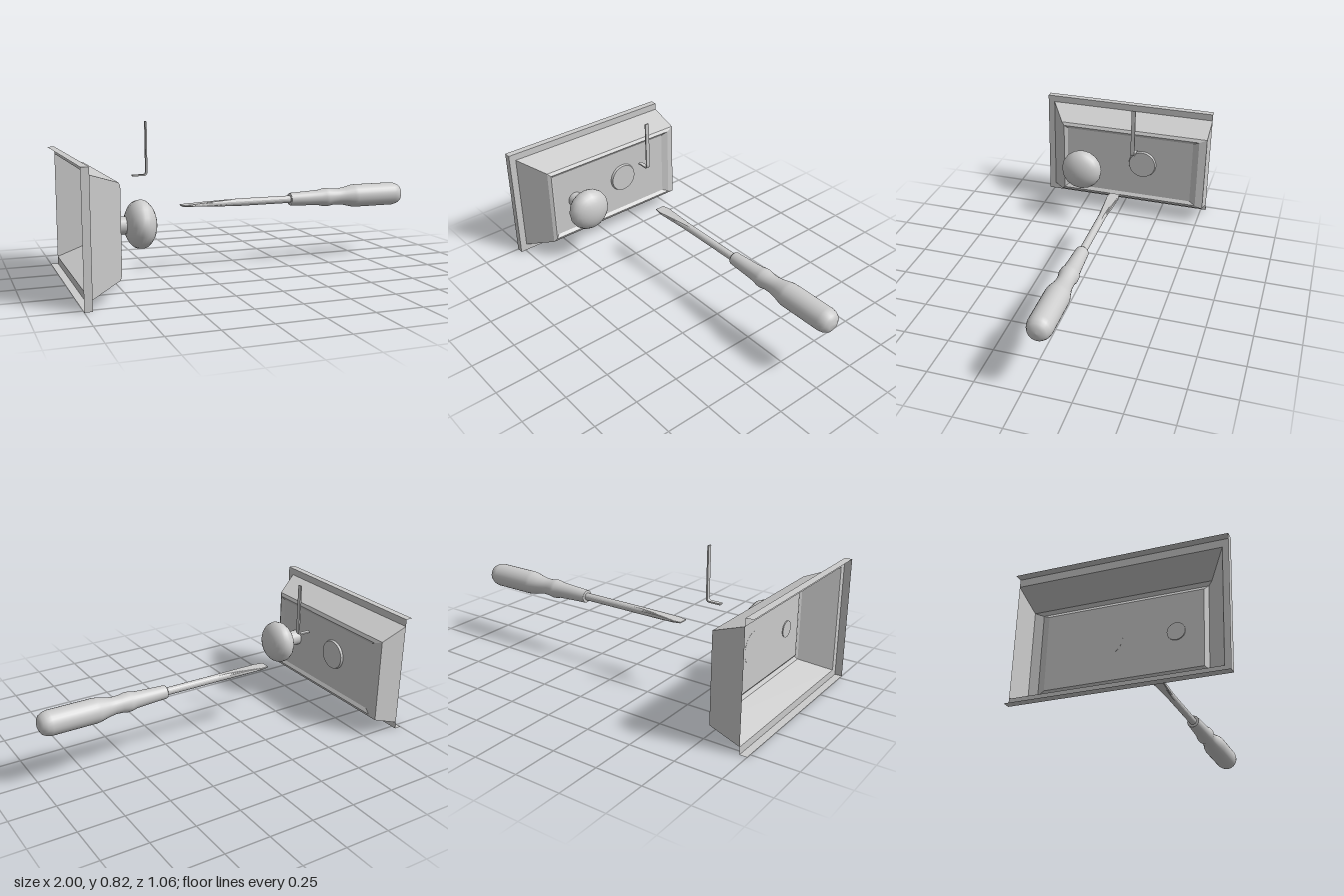
import * as THREE from 'three';

const grey = new THREE.MeshStandardMaterial({ color: 0xcccccc });
const greyFlat = new THREE.MeshStandardMaterial({ color: 0xcccccc, flatShading: true, side: THREE.DoubleSide });

function add(parent, name, geometry, material = grey) {
  const mesh = new THREE.Mesh(geometry, material);
  mesh.name = name;
  parent.add(mesh);
  return mesh;
}

function fromTriangles(pos) {
  const g = new THREE.BufferGeometry();
  g.setAttribute('position', new THREE.Float32BufferAttribute(pos.flat(), 3));
  g.computeVertexNormals();
  return g;
}

// Hollow sheet panel: rectangular loops joined by sides, with an open flange at the -z end
function panelGeometry() {
  // x, yMin, yMax, zMin, zMax
  const loops = [
    [-1, 0, 0.67, -0.53, 0.53],
    [-0.96, 0, 0.67, -0.53, 0.53],
    [-0.96, 0.04, 0.63, -0.53, 0.49],
    [-0.797, 0.1, 0.573, -0.53, 0.388],
    [-0.786, 0.12, 0.555, -0.485, 0.37],
    [-0.8, 0.138, 0.535, -0.447, 0.35],
  ].map(([x, y0, y1, z0, z1]) => [[x, y0, z1], [x, y0, z0], [x, y1, z0], [x, y1, z1]]);
  const tris = [];
  const quad = (a, b, c, d) => tris.push(a, b, c, a, c, d);
  for (let i = 0; i < loops.length - 1; i++) {
    for (let k = 0; k < 4; k++) {
      if (k === 1 && i < 2) continue;
      const n = (k + 1) % 4;
      quad(loops[i][k], loops[i][n], loops[i + 1][n], loops[i + 1][k]);
    }
  }
  quad(...loops[loops.length - 1]);
  return fromTriangles(tris);
}

// Round shaft flattening into a flared blade
function shaftGeometry() {
  // x, half width (z), half thickness (y)
  const sections = [
    [-0.355, 0.028, 0.003], [-0.31, 0.035, 0.005], [-0.2, 0.027, 0.012],
    [-0.09, 0.021, 0.017], [-0.03, 0.021, 0.021], [0.3, 0.021, 0.021],
  ];
  const N = 20;
  const rings = sections.map(([x, w, h]) => Array.from({ length: N }, (_, i) => {
    const a = (i / N) * Math.PI * 2;
    return [x, THREE.MathUtils.clamp(Math.sin(a) * w, -h, h), Math.cos(a) * w];
  }));
  const tris = [];
  for (let s = 0; s < rings.length - 1; s++) {
    for (let i = 0; i < N; i++) {
      const n = (i + 1) % N, a = rings[s], b = rings[s + 1];
      tris.push(a[i], a[n], b[n], a[i], b[n], b[i]);
    }
  }
  for (let i = 0; i < N; i++) tris.push([-0.355, 0, 0], rings[0][(i + 1) % N], rings[0][i]);
  return fromTriangles(tris);
}

// Flat L-shaped strip with a rounded bend, drawn in x-y and given depth in z
function hookGeometry() {
  const s = new THREE.Shape();
  s.moveTo(-0.61, 0.533);
  s.lineTo(-0.55, 0.533);
  s.quadraticCurveTo(-0.528, 0.533, -0.528, 0.556);
  s.lineTo(-0.528, 0.825);
  s.lineTo(-0.536, 0.825);
  s.lineTo(-0.536, 0.556);
  s.quadraticCurveTo(-0.536, 0.541, -0.55, 0.541);
  s.lineTo(-0.61, 0.541);
  return new THREE.ExtrudeGeometry(s, { depth: 0.023, bevelEnabled: false, curveSegments: 6 });
}

export function createModel() {
  const model = new THREE.Group();
  model.name = 'drawerFrontAndScrewdriver';

  // Drawer front with a shallow raised disc
  add(model, 'drawerFront', panelGeometry(), greyFlat);
  const disc = add(model, 'disc', new THREE.CylinderGeometry(0.082, 0.087, 0.014, 32));
  disc.rotation.z = -Math.PI / 2;
  disc.position.set(-0.794, 0.353, -0.137);

  // Knob on its neck
  const knob = new THREE.Group();
  knob.name = 'knob';
  knob.position.set(-0.655, 0.335, 0.215);
  model.add(knob);
  const head = add(knob, 'knobHead', new THREE.SphereGeometry(0.125, 16, 16));
  head.rotation.z = -Math.PI / 2;
  head.scale.y = 0.65;
  const neck = add(knob, 'knobNeck', new THREE.CylinderGeometry(0.045, 0.045, 0.1, 20));
  neck.rotation.z = -Math.PI / 2;
  neck.position.x = -0.1;

  // Bent strip
  add(model, 'hook', hookGeometry()).position.z = -0.147;

  // Screwdriver lying along x
  const driver = new THREE.Group();
  driver.name = 'screwdriver';
  driver.position.set(0, 0.368, -0.08);
  model.add(driver);
  add(driver, 'blade', shaftGeometry(), greyFlat);
  const profile = [
    [0, 0.286], [0.034, 0.286], [0.036, 0.29], [0.041, 0.4], [0.045, 0.47], [0.052, 0.5],
    [0.053, 0.52], [0.047, 0.55], [0.046, 0.59], [0.052, 0.63], [0.064, 0.68], [0.066, 0.7],
    [0.066, 0.94], [0.061, 0.965], [0.05, 0.985], [0.03, 0.997], [0, 1],
  ].map(([r, y]) => new THREE.Vector2(r, y));
  add(driver, 'handle', new THREE.LatheGeometry(profile, 28)).rotation.z = -Math.PI / 2;

  return model;
}
